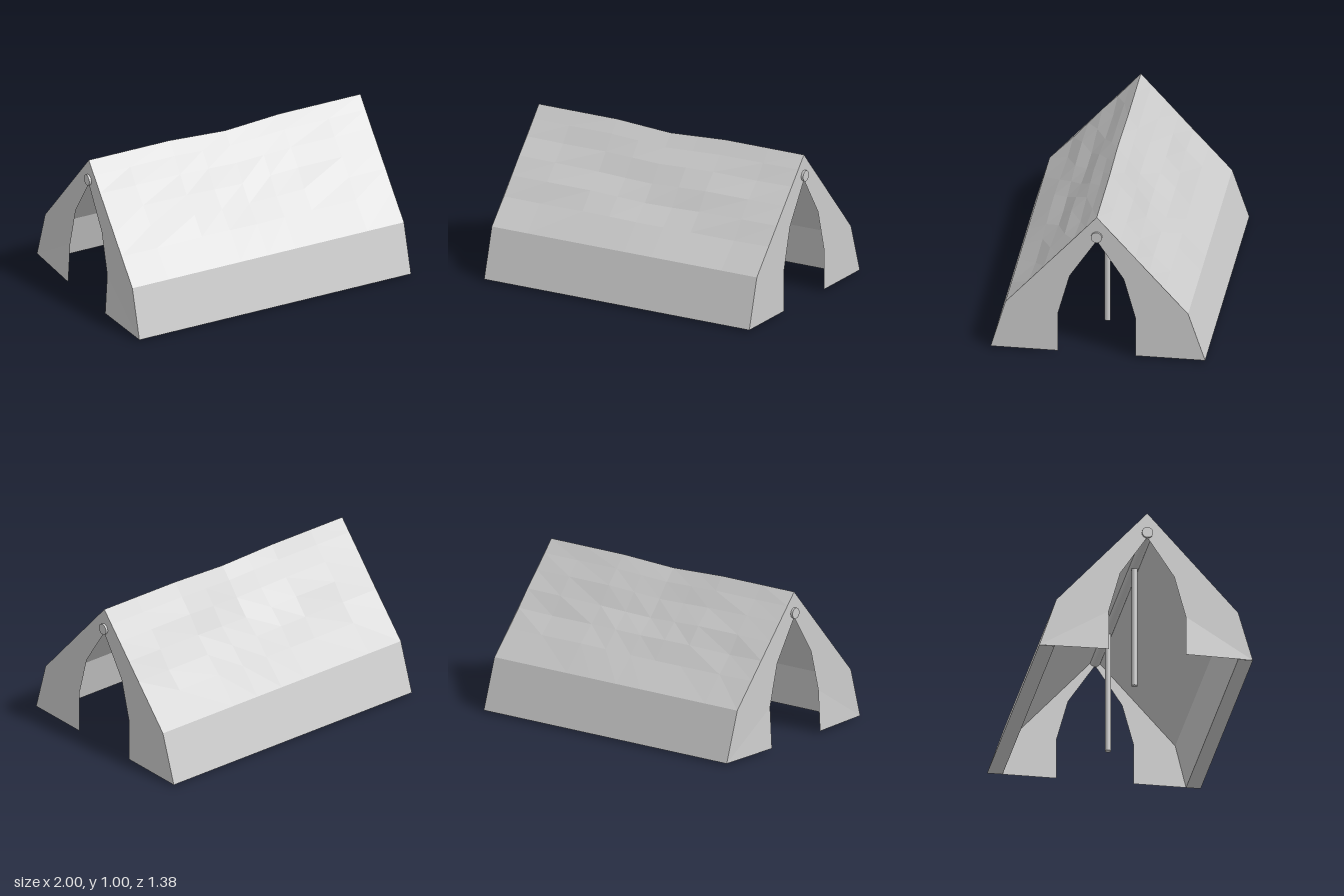
import * as THREE from 'three';

const END = 0.985; // half length of the canvas
const MID = 0.01;  // z of the ridge
const flat = new THREE.MeshStandardMaterial({ color: 0xcccccc, flatShading: true, side: THREE.DoubleSide });
const smooth = new THREE.MeshStandardMaterial({ color: 0xcccccc });

// Half profiles as [z, y], from the ridge down to the hem
const outer = { 1: [[MID, 0.995], [0.6, 0.34], [0.695, 0.012]], '-1': [[MID, 0.995], [-0.58, 0.34], [-0.69, 0.012]] };
const inner = { 1: [[MID, 0.875], [0.53, 0.3], [0.6, 0.012]], '-1': [[MID, 0.875], [-0.51, 0.3], [-0.59, 0.012]] };

// Grid surface from point(u, v) -> [x, y, z]; side flips the winding
function sheet(us, vs, side, point) {
  const pos = [], idx = [], n = vs.length;
  for (const u of us) for (const v of vs) pos.push(...point(u, v));
  for (let i = 0; i < us.length - 1; i++) {
    for (let j = 0; j < n - 1; j++) {
      const a = i * n + j, b = a + 1, c = a + n, d = c + 1;
      if (side > 0) idx.push(a, b, c, b, d, c);
      else idx.push(a, c, b, b, c, d);
    }
  }
  const g = new THREE.BufferGeometry();
  g.setAttribute('position', new THREE.Float32BufferAttribute(pos, 3));
  g.setIndex(idx);
  g.computeVertexNormals();
  return g;
}

// Straight canvas strip between two profile points
const strip = (p, q, side) =>
  sheet([-END, END], [0, 1], side, (x, v) => (v ? [x, q[1], q[0]] : [x, p[1], p[0]]));

// Roof slope with shallow creases and a sagging ridge
function roofSlope(side) {
  const [p, q] = outer[side];
  const xs = [-END, -0.72, -0.4, -0.2, 0, 0.2, 0.4, 0.72, END];
  const ts = [0, 0.12, 0.26, 0.42, 0.58, 0.75, 1];
  return sheet(xs, ts, side, (x, t) => {
    const fade = Math.abs(x) < END ? 1 : (x * side < 0 ? 0.5 : 0.15);
    const dent = 0.02 * fade * Math.sin(Math.PI * t) * (0.5 + 0.5 * Math.sin(4 * x - 11 * t + side));
    const sag = 0.02 * Math.max(0, 1 - Math.abs(x) / 0.4) * (1 - t);
    return [
      x,
      p[1] + (q[1] - p[1]) * t - dent * 0.67 - sag,
      p[0] + (q[0] - p[0]) * t - side * dent * 0.74 + sag * 0.5,
    ];
  });
}

// End wall with a door opening cut up from the hem
function endWall(x) {
  const f = outer[1], b = outer[-1];
  const door = [[-0.24, 0.012], [-0.24, 0.285], [-0.165, 0.56], [MID, 0.825], [0.185, 0.56], [0.26, 0.285], [0.26, 0.012]];
  const outline = [f[0], f[1], f[2], ...door.reverse(), b[2], b[1]];
  const g = new THREE.ShapeGeometry(new THREE.Shape(outline.map(([z, y]) => new THREE.Vector2(-z, y))));
  g.rotateY(Math.PI / 2);
  const p = g.attributes.position;
  for (let i = 0; i < p.count; i++) {
    // the door flaps on the right end swing slightly outwards at the hem
    const loose = x < 0 && p.getY(i) < 0.1 && Math.abs(p.getZ(i)) < 0.4;
    p.setX(i, loose ? -1 : x);
  }
  g.computeVertexNormals();
  return g;
}

export function createModel() {
  const tent = new THREE.Group();
  tent.name = 'tent';
  const add = (name, geometry, material = flat) => {
    const m = new THREE.Mesh(geometry, material);
    m.name = name;
    tent.add(m);
    return m;
  };

  // Canvas: outer skin, inner skin and hem on both sides
  for (const [side, label] of [[1, 'front'], [-1, 'back']]) {
    const o = outer[side], i = inner[side];
    add(label + 'Roof', roofSlope(side));
    add(label + 'Wall', strip(o[1], o[2], side));
    add(label + 'Hem', strip(o[2], i[2], side));
    add(label + 'InnerWall', strip(i[2], i[1], side));
    add(label + 'InnerRoof', strip(i[1], i[0], side));
  }

  // End walls
  add('leftEndWall', endWall(END));
  add('rightEndWall', endWall(-END));

  // Ridge pole and its two uprights
  const ridge = add('ridgePole', new THREE.CylinderGeometry(0.036, 0.036, 2, 24), smooth);
  ridge.rotation.z = Math.PI / 2;
  ridge.position.set(0, 0.855, MID);
  for (const x of [-0.5, 0.5]) {
    const post = add('uprightPole', new THREE.CylinderGeometry(0.019, 0.019, 0.85, 20), smooth);
    post.position.set(x, 0.425, MID);
  }
  return tent;
}
